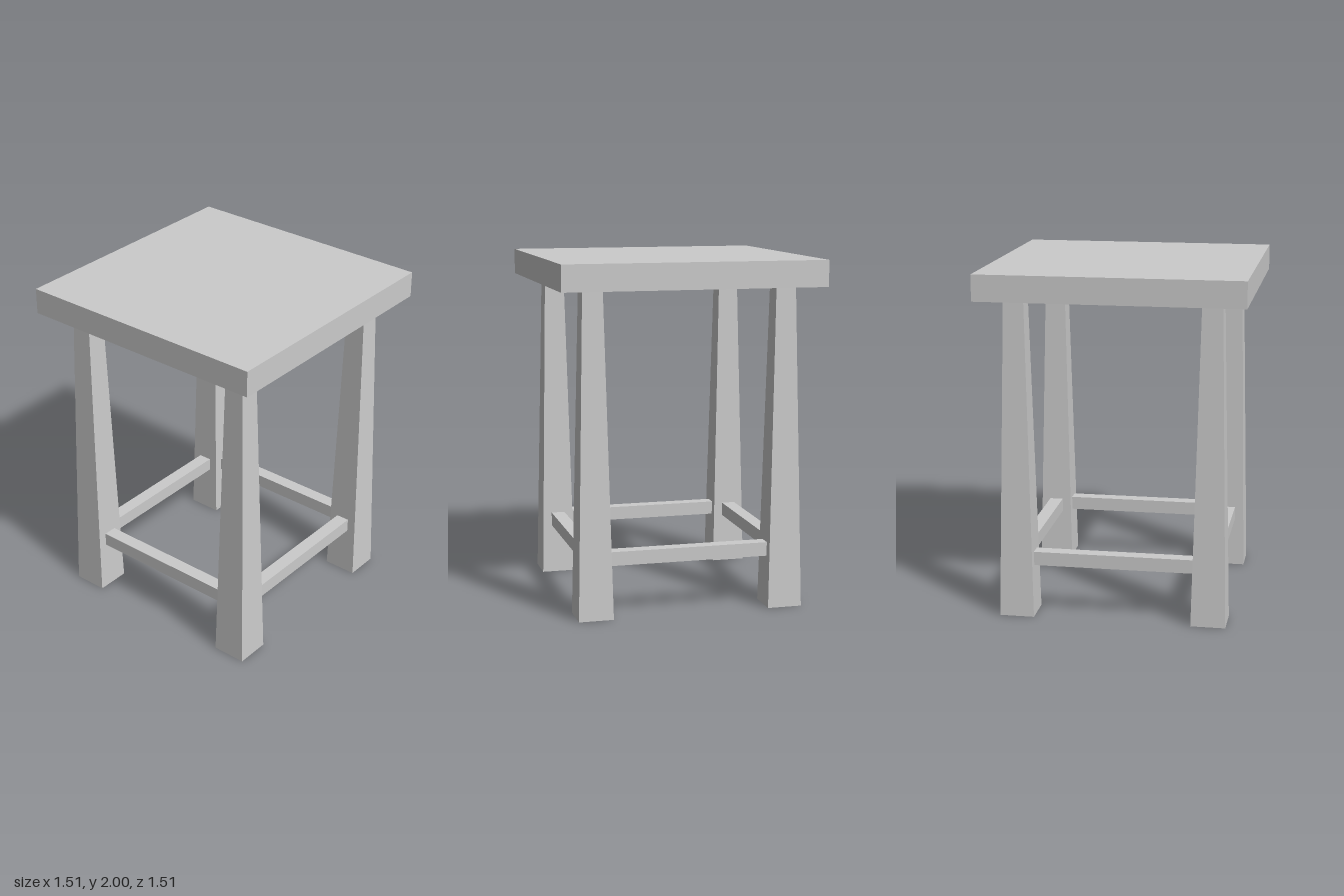
import * as THREE from 'three';

const material = new THREE.MeshStandardMaterial({ color: 0xcccccc, flatShading: true });

const SEAT_BOTTOM = 1.85;
const LEG_OFFSET = 0.555;

function addBox(group, name, size, position) {
  const mesh = new THREE.Mesh(new THREE.BoxGeometry(...size), material);
  mesh.name = name;
  mesh.position.set(...position);
  group.add(mesh);
}

// Square post, wider at the foot than at the seat
function taperedLeg(bottom, top, height) {
  const geometry = new THREE.BoxGeometry(1, height, 1);
  const p = geometry.attributes.position;
  for (let i = 0; i < p.count; i++) {
    const width = p.getY(i) > 0 ? top : bottom;
    p.setX(i, p.getX(i) * width);
    p.setZ(i, p.getZ(i) * width);
  }
  geometry.translate(0, height / 2, 0);
  geometry.computeVertexNormals();
  return geometry;
}

export function createModel() {
  const stool = new THREE.Group();
  stool.name = 'stool';

  // Seat slab
  addBox(stool, 'seat', [1.51, 0.15, 1.51], [0, SEAT_BOTTOM + 0.075, 0]);

  // Four legs
  const legGeometry = taperedLeg(0.2, 0.115, SEAT_BOTTOM);
  for (const [sx, side] of [[1, 'Left'], [-1, 'Right']]) {
    for (const [sz, end] of [[1, 'front'], [-1, 'back']]) {
      const leg = new THREE.Mesh(legGeometry, material);
      leg.name = `${end}${side}Leg`;
      leg.position.set(sx * LEG_OFFSET, 0, sz * LEG_OFFSET);
      stool.add(leg);
    }
  }

  // Four stretcher rails, ends set slightly into the legs
  const length = 0.95, thick = 0.08, y = 0.335;
  addBox(stool, 'frontRail', [length, thick, thick], [0, y, LEG_OFFSET]);
  addBox(stool, 'backRail', [length, thick, thick], [0, y, -LEG_OFFSET]);
  addBox(stool, 'leftRail', [thick, thick, length], [LEG_OFFSET, y, 0]);
  addBox(stool, 'rightRail', [thick, thick, length], [-LEG_OFFSET, y, 0]);

  return stool;
}
